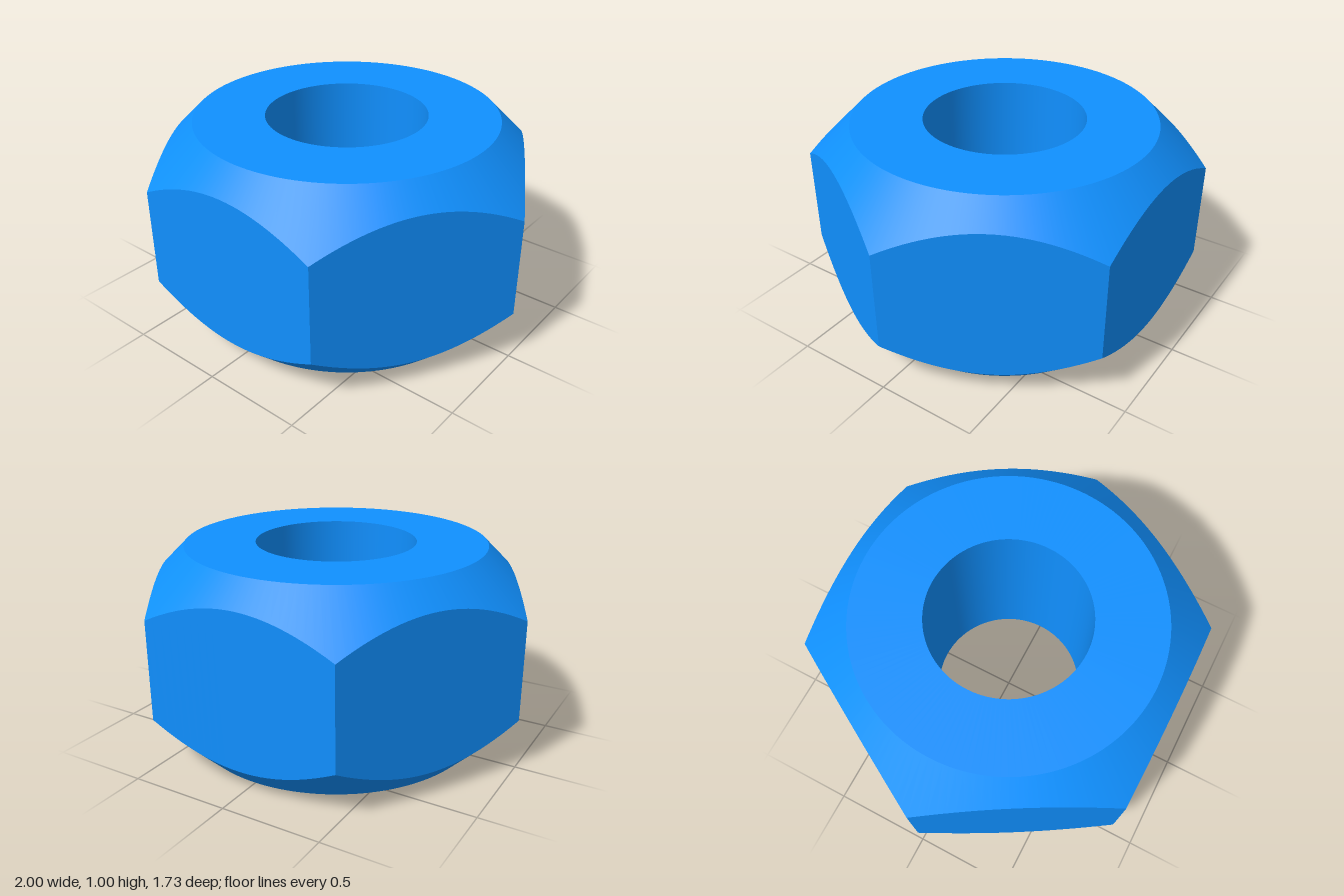
import * as THREE from 'three';

const SEGMENTS = 144; // multiple of 12, so vertices fall on every hexagon corner
const BORE = 0.4, FACE = 0.75, CORNER = 1, HEIGHT = 1;
const APOTHEM = CORNER * Math.cos(Math.PI / 6);

// Distance from the axis to the hexagon outline, with corners on the x axis
function hexRadius(angle) {
  const step = Math.PI / 3;
  const offset = angle - Math.round(angle / step) * step;
  return APOTHEM / Math.cos(offset);
}

// Revolve a profile of [radius, height] points
function revolve(...profile) {
  return new THREE.LatheGeometry(profile.map(([r, y]) => new THREE.Vector2(r, y)), SEGMENTS);
}

// Slide the outermost ring along the 45 degree chamfer cones onto the hexagon
function trimToHexagon(geometry) {
  const p = geometry.attributes.position;
  for (let i = 0; i < p.count; i++) {
    const x = p.getX(i), z = p.getZ(i);
    if (Math.hypot(x, z) < 0.9) continue;
    const angle = Math.atan2(x, z);
    const r = hexRadius(angle);
    const rise = r - FACE;
    p.setXYZ(i, r * Math.sin(angle), p.getY(i) < HEIGHT / 2 ? rise : HEIGHT - rise, r * Math.cos(angle));
  }
  return geometry;
}

export function createModel() {
  const group = new THREE.Group();
  group.name = 'hexNut';
  const material = new THREE.MeshStandardMaterial({ color: 0x1090ff });

  const add = (name, geometry) => {
    const mesh = new THREE.Mesh(geometry, material);
    mesh.name = name;
    group.add(mesh);
  };

  const low = CORNER - FACE, high = HEIGHT - low;

  // Six flat sides with curved upper and lower edges
  const sides = trimToHexagon(revolve([CORNER, low], [CORNER, high])).toNonIndexed();
  sides.computeVertexNormals();
  add('sideFlats', sides);

  // Conical chamfers, smooth around the axis
  add('topChamfer', trimToHexagon(revolve([CORNER, high], [FACE, HEIGHT])));
  add('bottomChamfer', trimToHexagon(revolve([FACE, 0], [CORNER, low])));

  // Flat ring faces and the through hole
  add('topFace', revolve([FACE, HEIGHT], [BORE, HEIGHT]));
  add('bottomFace', revolve([BORE, 0], [FACE, 0]));
  add('bore', revolve([BORE, HEIGHT], [BORE, 0]));

  return group;
}
